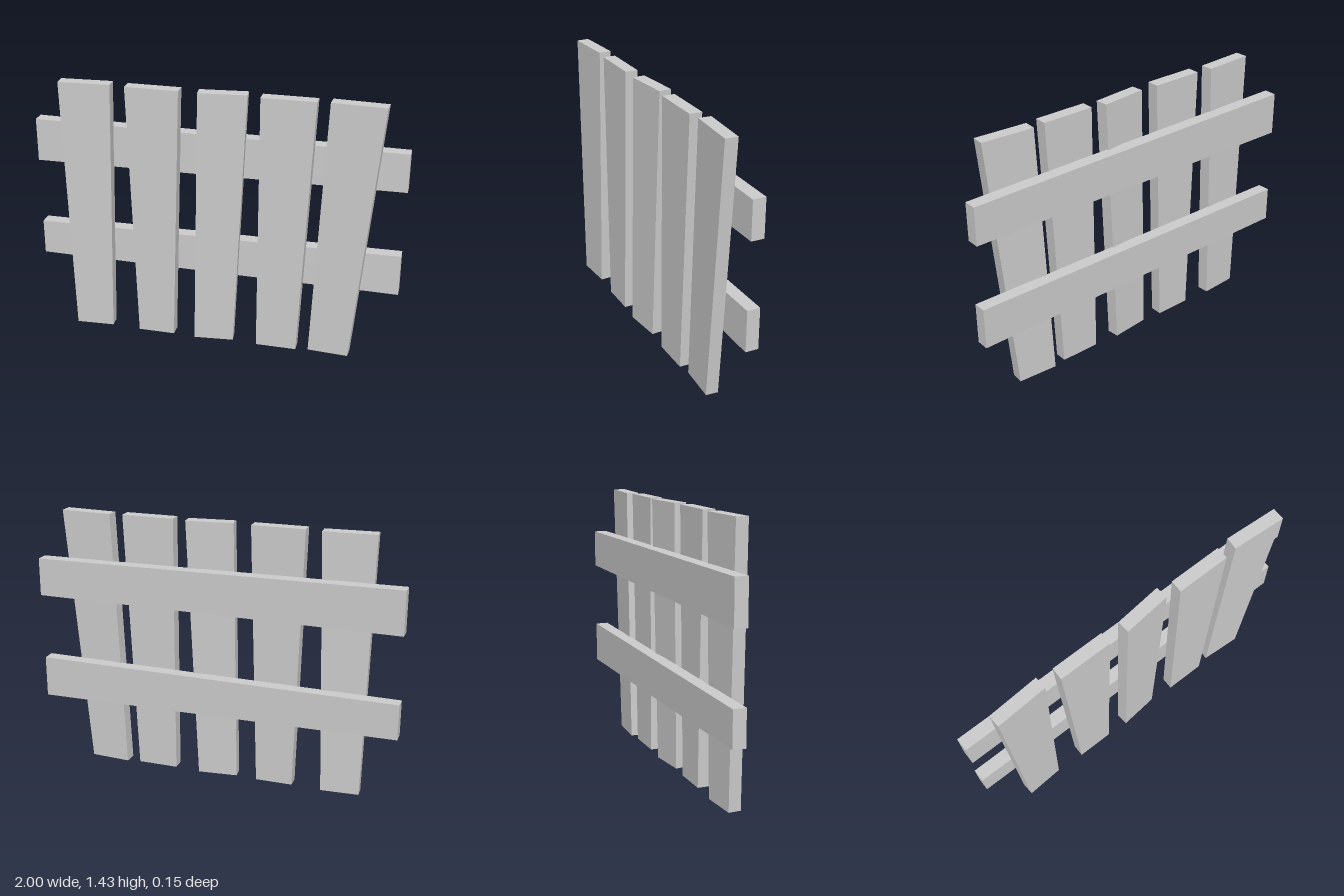
import * as THREE from 'three';

const material = new THREE.MeshStandardMaterial({ color: 0xcccccc, flatShading: true });

// Flat board cut from a four-cornered outline, turned by yaw about its own centre
function board(name, corners, thickness, z, yaw = 0) {
  const cx = corners.reduce((sum, p) => sum + p[0], 0) / 4;
  const shape = new THREE.Shape(corners.map(([x, y]) => new THREE.Vector2(x - cx, y)));
  const geometry = new THREE.ExtrudeGeometry(shape, { depth: thickness, bevelEnabled: false });
  geometry.translate(0, 0, -thickness / 2);
  const mesh = new THREE.Mesh(geometry, material);
  mesh.name = name;
  mesh.position.set(cx, 0, z);
  mesh.rotation.y = yaw;
  return mesh;
}

export function createModel() {
  const group = new THREE.Group();
  group.name = 'fence';

  // Upright pickets, wider at the top: bottom left/right x, top left/right x, z, yaw
  const height = 1.43;
  const pickets = [
    [-0.798, -0.59, -0.832, -0.552, 0.028, 0.06],
    [-0.428, -0.226, -0.468, -0.181, 0.032, 0],
    [-0.108, 0.108, -0.083, 0.173, 0.028, 0.1],
    [0.245, 0.466, 0.245, 0.531, 0.032, 0],
    [0.534, 0.754, 0.598, 0.882, 0.028, -0.065],
  ];
  pickets.forEach(([bl, br, tl, tr, z, yaw], i) => {
    const corners = [[bl, 0], [br, 0], [tr, height], [tl, height]];
    group.add(board(`picket${i + 1}`, corners, 0.067, z, yaw));
  });

  // Two uneven cross rails behind the pickets
  group.add(board('upperRail', [[-1, 0.948], [1, 0.962], [1, 1.17], [-1, 1.185]], 0.07, -0.043));
  group.add(board('lowerRail', [[-1, 0.386], [0.993, 0.372], [0.993, 0.598], [-1, 0.58]], 0.07, -0.043));

  return group;
}
